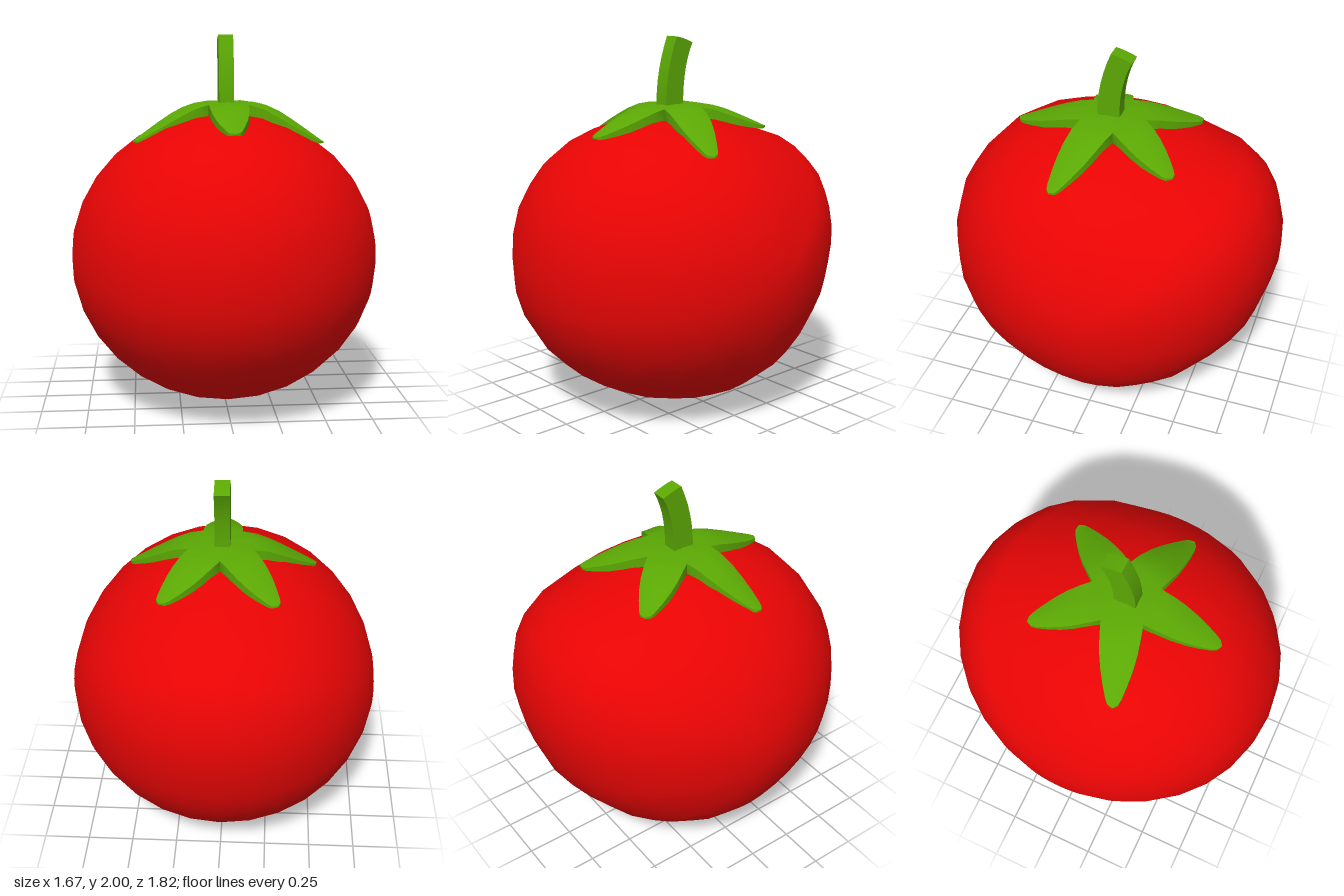
import * as THREE from 'three';
import { mergeVertices, toCreasedNormals } from 'three/addons/utils/BufferGeometryUtils.js';

const red = new THREE.MeshStandardMaterial({ color: 0xe80404 });
const green = new THREE.MeshStandardMaterial({ color: 0x5ba804 });

// Side outline of the fruit as [z, y]: from the back over the top to the front, then underneath
const outline = [
  [-0.91, 0.9], [-0.905, 1.05], [-0.87, 1.2], [-0.8, 1.325], [-0.67, 1.43], [-0.37, 1.53], [-0.15, 1.58],
  [0, 1.59], [0.17, 1.585], [0.33, 1.555], [0.5, 1.5], [0.65, 1.41], [0.76, 1.29], [0.85, 1.15], [0.9, 0.98],
  [0.91, 0.82], [0.9, 0.66], [0.85, 0.51], [0.76, 0.365], [0.64, 0.245], [0.5, 0.15], [0.33, 0.07], [0.15, 0.02],
  [0, 0], [-0.12, 0.01], [-0.28, 0.045], [-0.43, 0.12], [-0.57, 0.22], [-0.7, 0.37], [-0.806, 0.52], [-0.85, 0.64], [-0.88, 0.75],
];

// Sphere with its poles on the x axis, each ring reshaped to the outline
function fruitGeometry() {
  const n = outline.length, rows = 16;
  let g = new THREE.SphereGeometry(1, n, rows);
  const p = g.attributes.position;
  for (let i = 0; i < p.count; i++) {
    const a = Math.PI * Math.floor(i / (n + 1)) / rows;
    const [z, y] = outline[(i % (n + 1)) % n];
    p.setXYZ(i, 0.835 * Math.cos(a), 0.8 + (y - 0.8) * Math.sin(a), z * Math.sin(a));
  }
  g.deleteAttribute('uv');
  g.deleteAttribute('normal');
  g = mergeVertices(g);
  g.computeVertexNormals();
  return g;
}

// Sepal stations: distance from centre, half width, share of droop, edge drop, thickness
const stations = [
  [0, 0.001, 0, 0, 0.06], [0.146, 0.106, 0, 0.01, 0.06], [0.22, 0.102, 0.08, 0.016, 0.05],
  [0.29, 0.095, 0.23, 0.02, 0.045], [0.36, 0.081, 0.44, 0.018, 0.04], [0.43, 0.061, 0.67, 0.013, 0.03],
  [0.49, 0.04, 0.87, 0.008, 0.02], [0.515, 0.027, 0.96, 0.004, 0.014], [0.53, 0.004, 1, 0, 0.008],
];

// One sepal along +z, lofted from arched cross-sections
function sepalGeometry(droop, reach) {
  const pos = [], index = [], m = 6, last = stations.length - 1, root = stations[1][0];
  for (const [r, w, share, drop, t] of stations) {
    const y = 1.645 - droop * share;
    const z = r > root ? root + (r - root) * reach : r;
    pos.push(w, y - drop, z, 0, y, z, -w, y - drop, z);
    pos.push(-w, y - drop - t, z, 0, y - t, z, w, y - drop - t, z);
  }
  for (let s = 0; s < last; s++) {
    for (let k = 0; k < m; k++) {
      const a = s * m + k, b = s * m + (k + 1) % m;
      index.push(a, b, b + m, a, b + m, a + m);
    }
  }
  // tip cap
  const e = last * m;
  for (let k = 1; k < m - 1; k++) index.push(e, e + k, e + k + 1);
  const g = new THREE.BufferGeometry();
  g.setAttribute('position', new THREE.Float32BufferAttribute(pos, 3));
  g.setIndex(index);
  return toCreasedNormals(g, 0.8);
}

// Curved square stem, cut out in side view and extruded across
function stemGeometry() {
  const s = new THREE.Shape();
  s.moveTo(0.095, 1.58);
  s.lineTo(0.095, 1.66);
  s.quadraticCurveTo(0.092, 1.83, 0.02, 2);
  s.quadraticCurveTo(-0.035, 1.99, -0.09, 1.965);
  s.quadraticCurveTo(-0.03, 1.85, -0.025, 1.68);
  s.lineTo(-0.025, 1.58);
  const g = new THREE.ExtrudeGeometry(s, { depth: 0.08, bevelEnabled: false, curveSegments: 6 });
  g.rotateY(-Math.PI / 2).translate(0.05, 0, 0);
  return toCreasedNormals(g, 0.5);
}

export function createModel() {
  const model = new THREE.Group();
  const add = (name, geometry, material, parent = model) => {
    const mesh = new THREE.Mesh(geometry, material);
    mesh.name = name;
    parent.add(mesh);
    return mesh;
  };

  add('fruit', fruitGeometry(), red);

  // Five sepals as [droop, reach], each following the fruit below it
  const calyx = new THREE.Group();
  calyx.name = 'calyx';
  calyx.position.set(0.015, 0, 0.02);
  model.add(calyx);
  [[0.13, 1], [0.205, 1], [0.125, 0.93], [0.125, 0.93], [0.195, 1]].forEach(([droop, reach], i) => {
    add('sepal', sepalGeometry(droop, reach), green, calyx).rotation.y = i * Math.PI * 2 / 5;
  });

  add('stem', stemGeometry(), green);
  return model;
}
